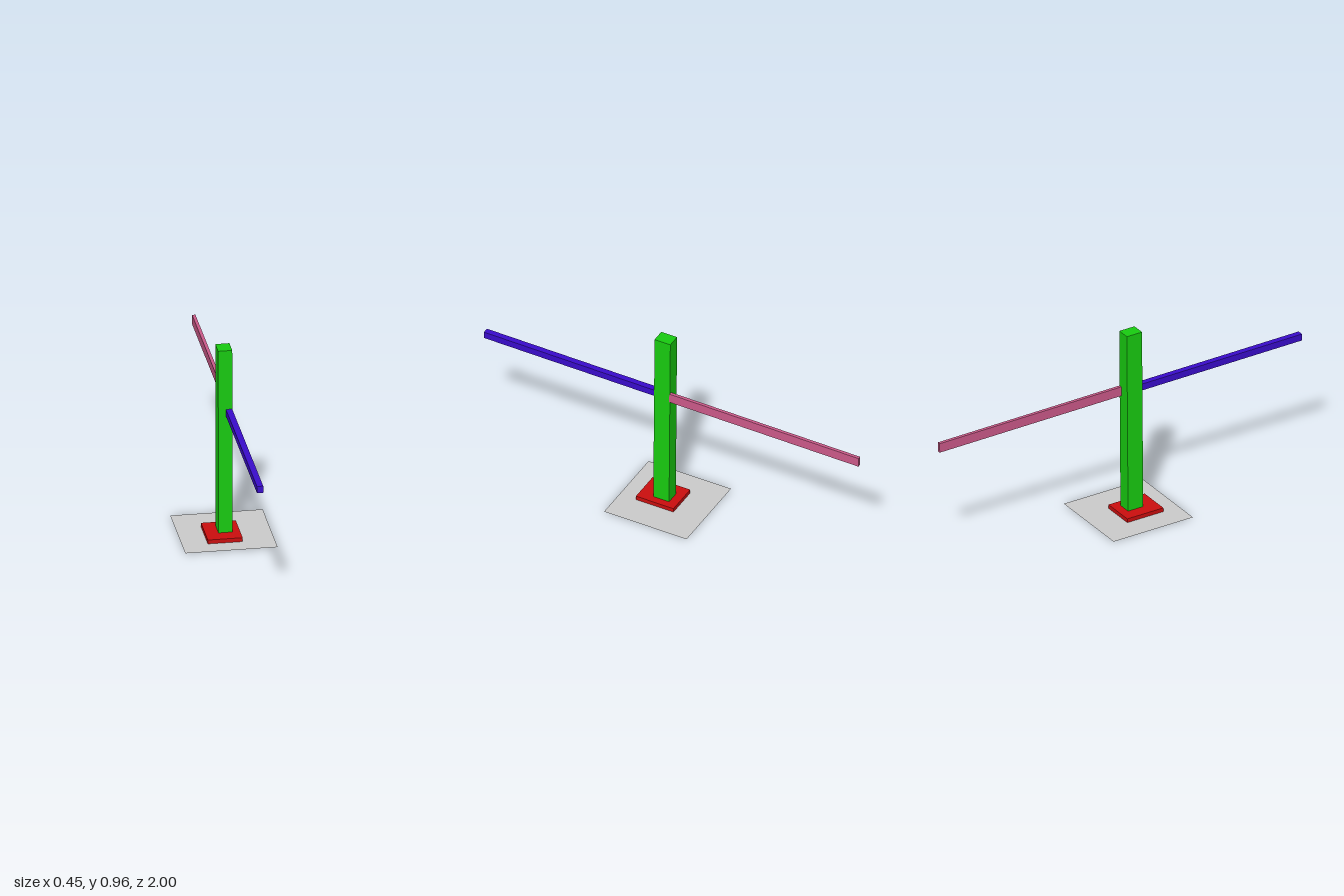
import * as THREE from 'three';

const YAW = -0.016, PITCH = -0.007;

// Flat-sided part with the slight turn and tilt shared by the whole post
function addPart(group, name, geometry, color, position, pitch = PITCH) {
  const material = new THREE.MeshStandardMaterial({ color });
  const mesh = new THREE.Mesh(geometry, material);
  mesh.name = name;
  mesh.position.set(...position);
  mesh.rotation.set(pitch, YAW, 0);
  group.add(mesh);
  return mesh;
}

export function createModel() {
  const model = new THREE.Group();
  model.name = 'signpost';

  // Paper-thin ground sheet
  const sheet = new THREE.PlaneGeometry(0.44, 0.44).rotateX(-Math.PI / 2);
  addPart(model, 'groundSheet', sheet, 0xcccccc, [-0.003, 0.003, 0.036])
    .material.side = THREE.DoubleSide;

  // Foot plate and upright
  addPart(model, 'footPlate', new THREE.BoxGeometry(0.166, 0.02, 0.2), 0xcc0e0e, [-0.019, 0.014, 0.068]);
  addPart(model, 'post', new THREE.BoxGeometry(0.067, 0.936, 0.084), 0x18cc10, [-0.006, 0.491, 0.05]);

  // Front and back arms, sloping gently down towards the back
  addPart(model, 'frontArm', new THREE.BoxGeometry(0.03, 0.034, 0.91), 0x3a0ccc, [0.004, 0.646, 0.545], -0.0125);
  addPart(model, 'backArm', new THREE.BoxGeometry(0.016, 0.048, 1.01), 0xcc5a8a, [0.03, 0.635, -0.495], -0.0125);

  return model;
}
